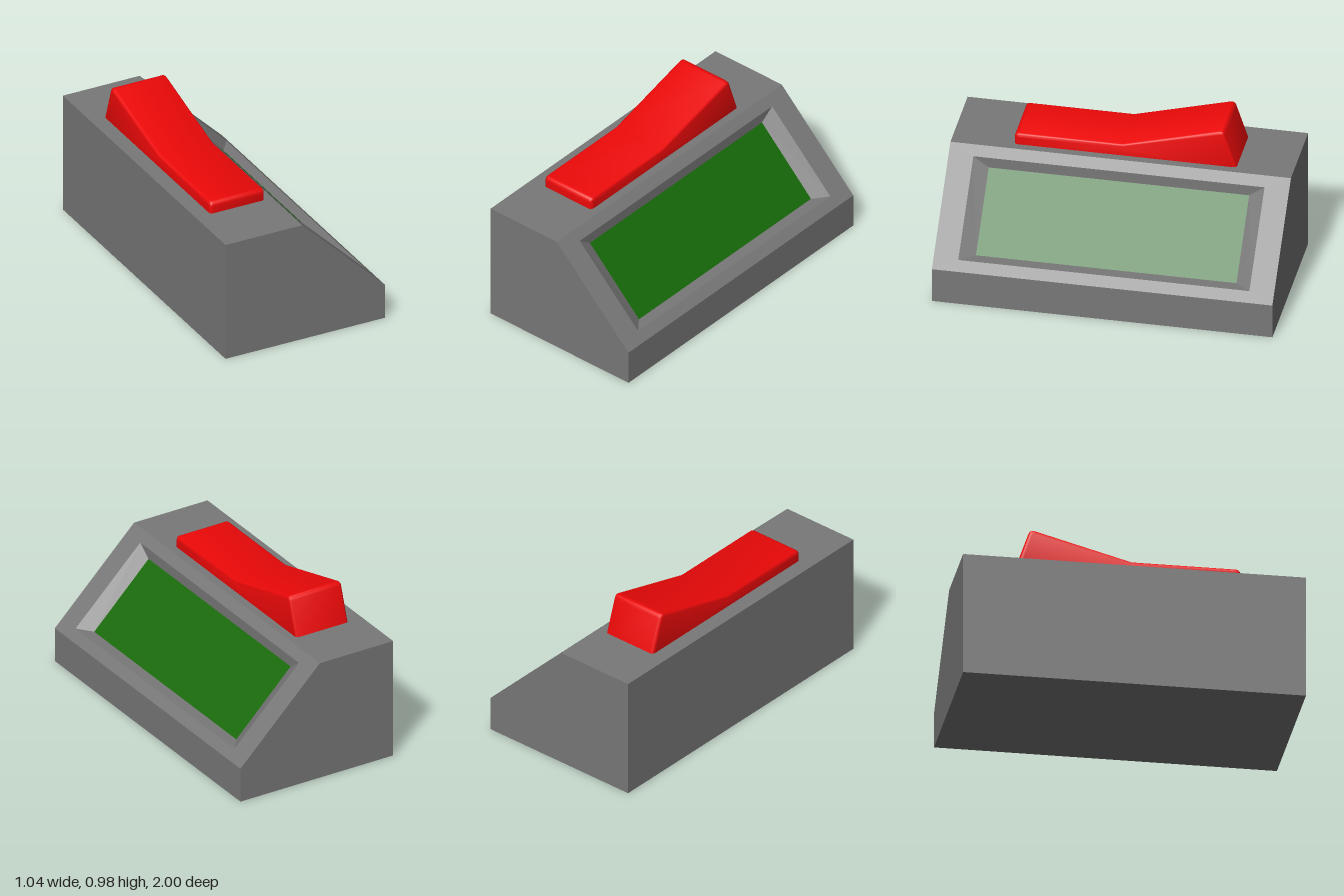
import * as THREE from 'three';
import { toCreasedNormals } from 'three/addons/utils/BufferGeometryUtils.js';

// Four corners of a strip running along z from +h to -h, between section points p and q
const ring = (p, q, h) => [[...p, h], [...p, -h], [...q, -h], [...q, h]];

// Flat-faced geometry from convex polygons (corners counter-clockwise from outside)
function polygons(faces) {
  const pos = [];
  for (const f of faces)
    for (let i = 1; i < f.length - 1; i++) pos.push(...f[0], ...f[i], ...f[i + 1]);
  const g = new THREE.BufferGeometry();
  g.setAttribute('position', new THREE.Float32BufferAttribute(pos, 3));
  g.computeVertexNormals();
  return g;
}

// Band of quads joining two four-cornered rings
const band = (a, b) => a.map((_, i) => {
  const j = (i + 1) % a.length;
  return [a[i], a[j], b[j], b[i]];
});

// Closed shape from points [x, y, t]; t is the length by which a corner is softened
function roundedShape(points) {
  const v = points.map(([x, y]) => new THREE.Vector2(x, y));
  const s = new THREE.Shape();
  v.forEach((c, i) => {
    const t = points[i][2];
    const prev = v[(i + v.length - 1) % v.length], next = v[(i + 1) % v.length];
    const a = c.clone().add(prev.clone().sub(c).setLength(t));
    const b = c.clone().add(next.clone().sub(c).setLength(t));
    if (i === 0) s.moveTo(a.x, a.y); else s.lineTo(a.x, a.y);
    if (t > 0) s.quadraticCurveTo(c.x, c.y, b.x, b.y);
  });
  s.closePath();
  return s;
}

export function createModel() {
  const model = new THREE.Group();
  const add = (name, geometry, color) => {
    const mesh = new THREE.Mesh(geometry, new THREE.MeshStandardMaterial({ color }));
    mesh.name = name;
    model.add(mesh);
  };

  // Wedge-shaped housing with a sunken window in the slope
  const section = [[-0.52, 0], [0.52, 0], [0.52, 0.215], [-0.02, 0.75], [-0.52, 0.75]];
  const slope = ring(section[2], section[3], 1);
  const rim = ring([0.47, 0.265], [0.03, 0.70], 0.855);
  const floor = ring([0.40, 0.265], [0.03, 0.635], 0.765);
  const faces = [
    section.map(p => [...p, 1]),
    section.map(p => [...p, -1]).reverse(),
    ...band(slope, rim),
    ...band(rim, floor),
  ];
  section.forEach((p, i) => {
    if (i !== 2) faces.push(ring(p, section[(i + 1) % section.length], 1));
  });
  add('housing', polygons(faces), 0x787878);

  // Dark green screen at the bottom of the window
  add('screen', polygons([floor]), 0x176908);

  // Red rocker switch, its foot sunk slightly into the housing, with a soft bend in the middle
  const r = 0.02;
  const profile = roundedShape([
    [-0.635, 0.70, 0.03], [0.687, 0.70, 0.03], [0.592, 0.985, 0.03], [0, 0.822, 0], [-0.635, 0.822, 0.03],
  ]);
  const rocker = new THREE.ExtrudeGeometry(profile, {
    depth: 0.356 - 2 * r, curveSegments: 5,
    bevelThickness: r, bevelSize: r, bevelOffset: -r, bevelSegments: 4,
  });
  rocker.rotateY(Math.PI / 2).translate(-0.426 + r, 0, 0);
  add('rockerSwitch', toCreasedNormals(rocker, 0.7), 0xec0808);

  return model;
}
